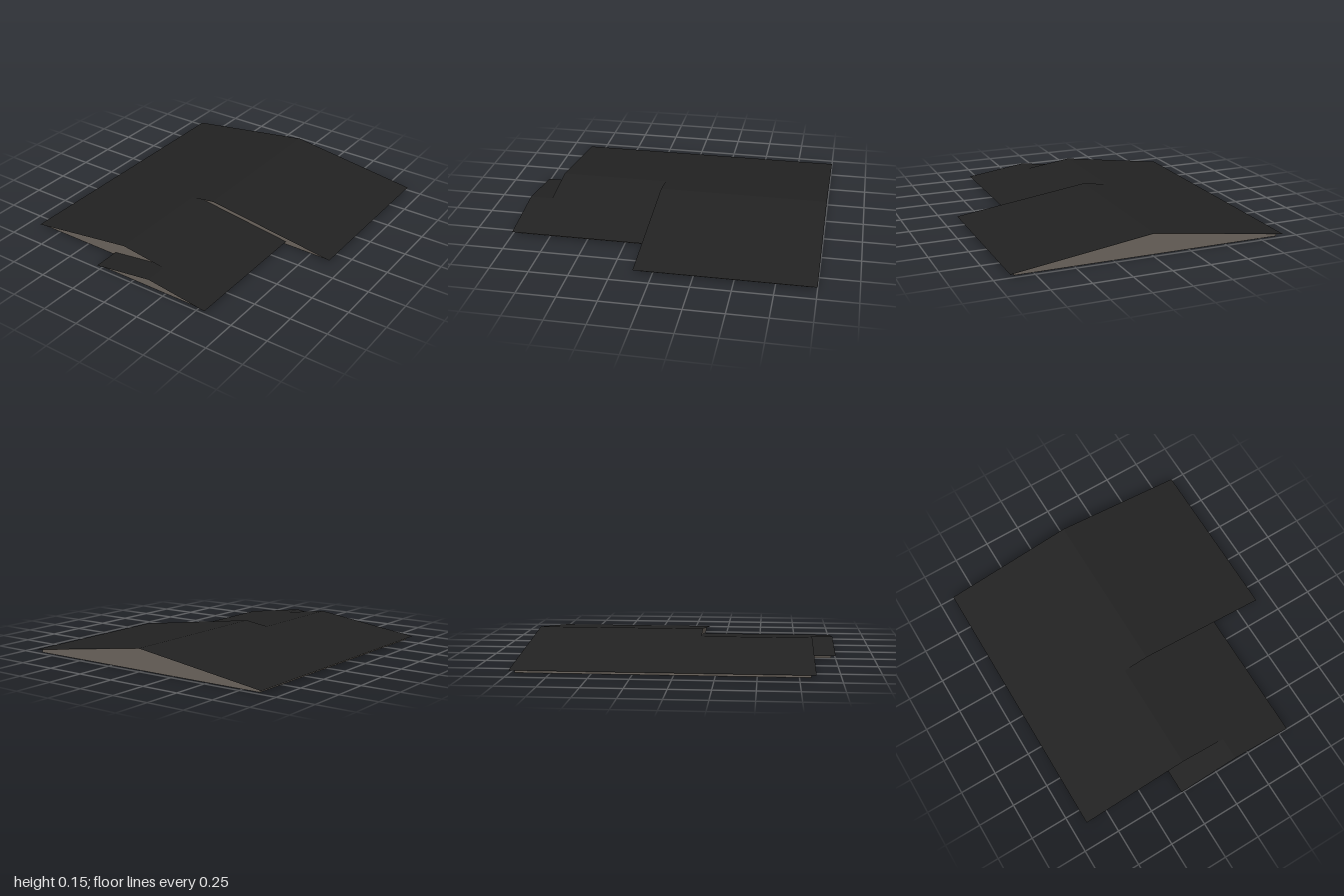
import * as THREE from 'three';

const EAVE = 0.02, PITCH = 0.139, OVERHANG = 0.03;

// Three stepped wings sharing one roof pitch: eaves x0..x1, from back z0 to front z1
const WINGS = [
  { name: 'main', x0: -0.9, x1: 0.9, z0: -1, z1: 0.12 },
  { name: 'middle', x0: -0.9, x1: 0.56, z0: 0.09, z1: 0.85 },
  { name: 'front', x0: -0.27, x1: 0.56, z0: 0.82, z1: 1 },
];

export function createModel() {
  const model = new THREE.Group();
  model.name = 'building';
  const wallMat = new THREE.MeshStandardMaterial({ color: 0x6b645d });
  wallMat.name = 'wall taupe';
  const roofMat = new THREE.MeshStandardMaterial({ color: 0x222222, side: THREE.DoubleSide });
  roofMat.name = 'roof charcoal';

  const add = (name, geometry, material, parent) => {
    const mesh = new THREE.Mesh(geometry, material);
    mesh.name = name;
    parent.add(mesh);
  };

  // Thin roof slope between an eave and the ridge
  const slope = (xa, ya, xb, yb, z0, z1) => {
    const g = new THREE.BufferGeometry();
    g.setAttribute('position', new THREE.Float32BufferAttribute(
      [xa, ya, z1, xb, yb, z1, xb, yb, z0, xa, ya, z0], 3));
    g.setIndex([0, 1, 2, 0, 2, 3]);
    g.computeVertexNormals();
    return g;
  };

  WINGS.forEach(({ name, x0, x1, z0, z1 }, i) => {
    const wing = new THREE.Group();
    wing.name = name + 'Wing';
    model.add(wing);
    const mid = (x0 + x1) / 2;
    const ridge = EAVE + PITCH * (x1 - x0) / 2;

    // Gabled walls, set in under the eaves
    const a = x0 + OVERHANG, b = x1 - OVERHANG;
    const top = EAVE + PITCH * OVERHANG - 0.002;
    const gable = new THREE.Shape();
    gable.moveTo(a, 0.001);
    gable.lineTo(b, 0.001);
    gable.lineTo(b, top);
    gable.lineTo(mid, ridge - 0.002);
    gable.lineTo(a, top);
    const back = i === 0 ? z0 + OVERHANG : z0;
    const walls = new THREE.ExtrudeGeometry(gable, { depth: z1 - OVERHANG - back, bevelEnabled: false });
    walls.translate(0, 0, back);
    add(name + 'Walls', walls, wallMat, wing);

    // Two roof slopes meeting at the ridge
    add(name + 'RoofRight', slope(x0, EAVE, mid, ridge, z0, z1), roofMat, wing);
    add(name + 'RoofLeft', slope(mid, ridge, x1, EAVE, z0, z1), roofMat, wing);

    // Underside of the wing
    const floor = new THREE.PlaneGeometry(b - a, z1 - OVERHANG - back);
    floor.rotateX(Math.PI / 2);
    floor.translate(mid, 0, (z1 - OVERHANG + back) / 2);
    add(name + 'Floor', floor, roofMat, wing);
  });

  return model;
}
